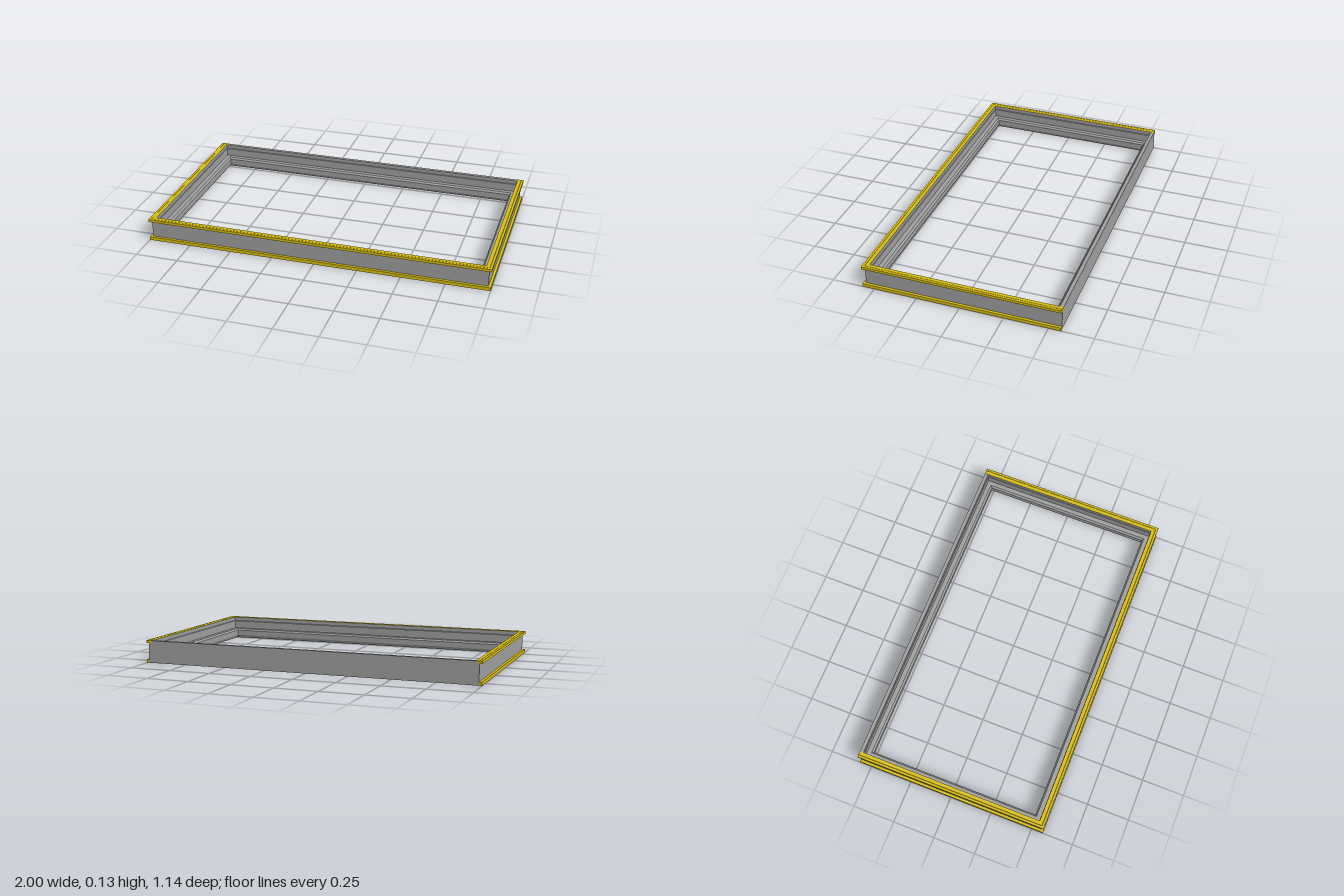
import * as THREE from 'three';

// Frame outline measured at the outer face of the wall
const HALF_X = 0.985, FRONT = 0.555, BACK = -0.57;

// Sweeps a clockwise [inset, height] profile round the frame with mitred corners.
// An open sweep skips the back and is cut square at z = BACK.
function sweepProfile(profile, closed) {
  const corners = [[-1, 'back'], [-1, 'front'], [1, 'front'], [1, 'back']];
  const point = (corner, [u, y]) => {
    const [side, end] = corners[corner % 4];
    const z = end === 'front' ? FRONT - u : BACK + (closed ? u : 0);
    return [side * (HALF_X - u), y, z];
  };
  const positions = [];
  const n = profile.length;
  for (let i = 0; i < (closed ? 4 : 3); i++) {
    for (let j = 0; j < n; j++) {
      const p = profile[j], q = profile[(j + 1) % n];
      const a = point(i, p), b = point(i, q), c = point(i + 1, q), d = point(i + 1, p);
      positions.push(...a, ...d, ...c, ...a, ...c, ...b);
    }
  }
  // Square end caps
  if (!closed) {
    const contour = profile.map(([u, y]) => new THREE.Vector2(u, y));
    for (const corner of [0, 3]) {
      for (const tri of THREE.ShapeUtils.triangulateShape(contour, [])) {
        tri.forEach((k) => positions.push(...point(corner, profile[k])));
      }
    }
  }
  const geometry = new THREE.BufferGeometry();
  geometry.setAttribute('position', new THREE.Float32BufferAttribute(positions, 3));
  geometry.computeVertexNormals();
  return geometry;
}

export function createModel() {
  const group = new THREE.Group();
  const grey = new THREE.MeshStandardMaterial({ color: 0xa0a0a0, flatShading: true });
  const yellow = new THREE.MeshStandardMaterial({ color: 0xdac010, flatShading: true, side: THREE.DoubleSide });

  const add = (name, profile, closed, material) => {
    const mesh = new THREE.Mesh(sweepProfile(profile, closed), material);
    mesh.name = name;
    group.add(mesh);
  };

  // Tall outer wall with an inner bead, a ledge and a bevelled lip
  add('frame', [
    [0, 0.001], [0, 0.132], [0.021, 0.132], [0.021, 0.11], [0.024, 0.107], [0.024, 0.06],
    [0.05, 0.06], [0.06, 0.05], [0.06, 0.018], [0.052, 0.001],
  ], true, grey);

  // Coloured edging along the front and both sides
  add('topTrim', [
    [-0.015, 0.117], [-0.015, 0.133], [-0.002, 0.133], [-0.001, 0.131],
    [0, 0.133], [0.02, 0.133], [0.02, 0.117],
  ], false, yellow);
  add('bottomTrim', [
    [-0.015, 0], [-0.015, 0.02], [0.012, 0.02], [0.012, 0],
    [0, 0], [-0.001, 0.002], [-0.002, 0],
  ], false, yellow);

  return group;
}
